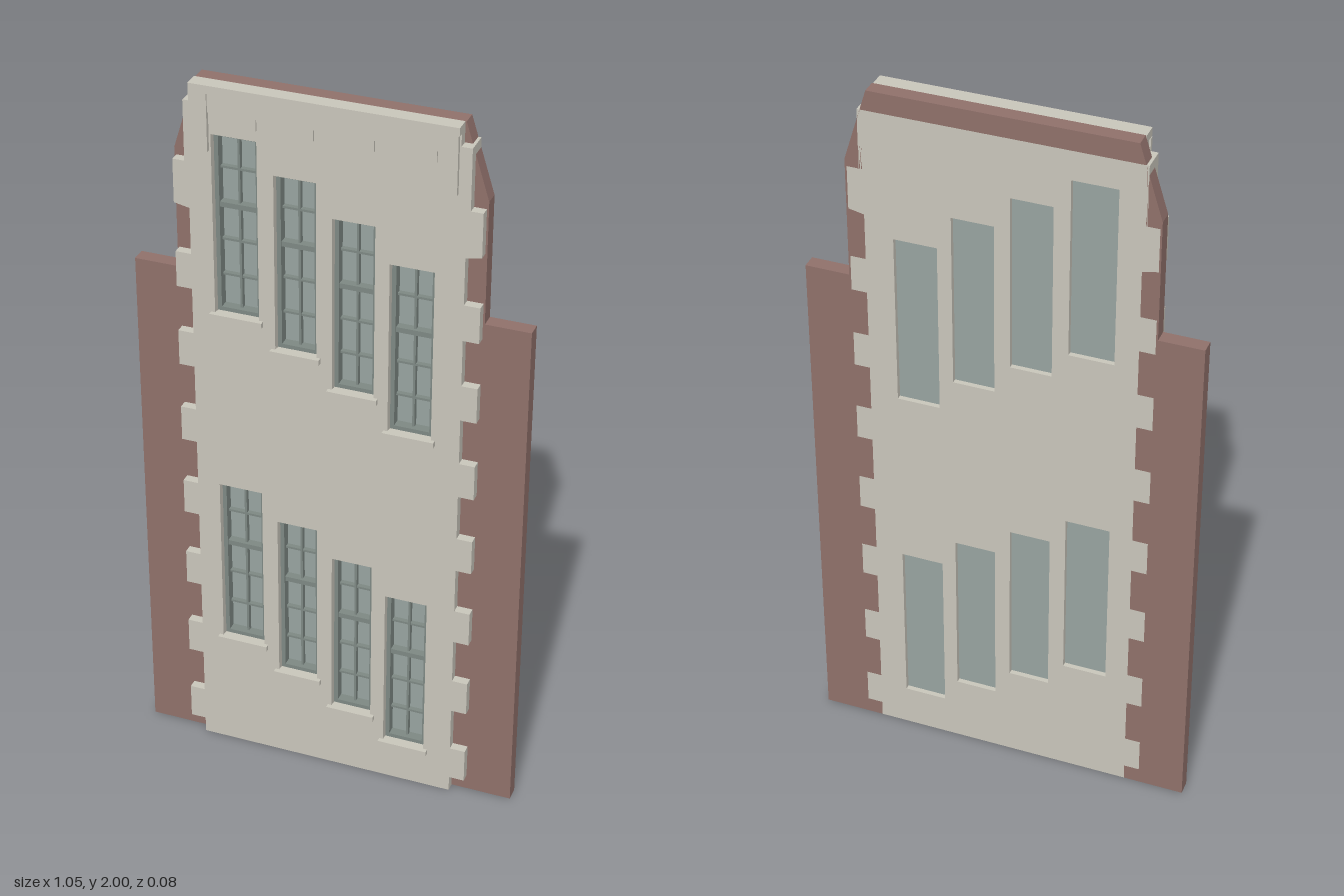
import * as THREE from 'three';

const mat = (name, color, side = THREE.FrontSide) => {
  const m = new THREE.MeshStandardMaterial({ color, side });
  m.name = name;
  return m;
};

export function createModel() {
  const stone = mat('pale stone', 0xc8c5ba);
  const brick = mat('red brick', 0x8f706a);
  const glass = mat('grey green glass', 0x97a3a0);
  const frame = mat('window frame grey', 0x7d8883);

  const model = new THREE.Group();
  model.name = 'townhouseFacade';

  const BACK = -0.04, FRONT = 0.025;

  // box given by its minimum and maximum corners
  function box(name, m, x0, x1, y0, y1, z0, z1, parent = model) {
    const mesh = new THREE.Mesh(new THREE.BoxGeometry(x1 - x0, y1 - y0, z1 - z0), m);
    mesh.position.set((x0 + x1) / 2, (y0 + y1) / 2, (z0 + z1) / 2);
    mesh.name = name;
    parent.add(mesh);
  }
  function slab(name, m, shape, z0, z1) {
    const geo = new THREE.ExtrudeGeometry(shape, { depth: z1 - z0, bevelEnabled: false });
    const mesh = new THREE.Mesh(geo, m);
    mesh.position.z = z0;
    mesh.name = name;
    model.add(mesh);
  }
  const v = (x, y) => new THREE.Vector2(x, y);
  const mirror = pts => pts.map(p => v(-p.x, p.y)).reverse();

  // toothed quoin edge on the left side, from the ground up
  const wide = 0.402, narrow = 0.36, top = 1.945;
  const edge = [v(narrow, 0), v(narrow, 0.045)];
  for (let i = 0; i < 7; i++) {
    const y = 0.045 + i * 0.2295;
    edge.push(v(wide, y), v(wide, y + 0.1), v(narrow, y + 0.1), v(narrow, y + 0.2295));
  }
  edge.push(v(wide, 1.66), v(wide, 1.78), v(0.37, 1.78), v(0.37, top));

  // windows: x range, upper row and lower row y ranges
  const columns = [
    [-0.298, -0.178, 1.365, 1.865, 0.35, 0.845],
    [-0.135, -0.024, 1.29, 1.782, 0.275, 0.765],
    [0.018, 0.13, 1.205, 1.693, 0.195, 0.685],
    [0.168, 0.284, 1.115, 1.597, 0.12, 0.602],
  ];
  const windows = columns.flatMap(([a, b, c, d, e, f]) => [[a, b, c, d], [a, b, e, f]]);

  // stone facade with window openings
  const facade = new THREE.Shape([...edge, ...mirror(edge)]);
  for (const [x0, x1, y0, y1] of windows) {
    facade.holes.push(new THREE.Path([v(x0, y0), v(x0, y1), v(x1, y1), v(x1, y0)]));
  }
  slab('stoneFacade', stone, facade, BACK, FRONT);

  // brick wings, sloped shoulders and parapet wrapped round the facade
  const outer = [v(0.527, 0), v(0.527, 1.465), v(0.407, 1.465), v(0.407, 1.8), v(0.345, 2)];
  const inner = [...edge];
  // the top quoin stone pokes out through the slope
  inner.splice(-2, 2, v(0.36, 1.78), v(0.36, top));
  slab('brickWall', brick,
    new THREE.Shape([...outer, ...mirror(outer), ...mirror(inner).reverse(), ...[...inner].reverse()]),
    BACK, 0);

  // parapet facing and cornice
  box('parapetFacing', stone, -0.345, 0.342, top, 1.98, 0, FRONT);
  box('cornice', stone, -0.348, 0.342, 1.978, 2, 0, 0.041);
  box('frieze', stone, -0.303, 0.29, 1.925, 1.978, FRONT, 0.031);
  for (const x of [-0.229, -0.08, 0.075, 0.232]) {
    box('friezeBlock', stone, x - 0.052, x + 0.052, 1.895, 1.925, FRONT, 0.031);
  }
  box('rightBracket', stone, -0.35, -0.303, 1.82, 1.978, FRONT, 0.036);
  box('leftBracket', stone, 0.29, 0.338, 1.82, 1.978, FRONT, 0.036);

  // glazing, frames, bars and sills
  for (const [x0, x1, y0, y1] of windows) {
    const g = new THREE.Group();
    g.name = 'window';
    model.add(g);
    const t = 0.011, zf = 0.006, zg = -0.02;
    box('glass', glass, x0, x1, y0, y1, zg - 0.006, zg, g);
    box('frameRight', frame, x0, x0 + t, y0, y1, zg, zf, g);
    box('frameLeft', frame, x1 - t, x1, y0, y1, zg, zf, g);
    box('frameTop', frame, x0 + t, x1 - t, y1 - t, y1, zg, zf, g);
    box('frameBottom', frame, x0 + t, x1 - t, y0, y0 + t, zg, zf, g);
    const xm = (x0 + x1) / 2;
    box('centreBar', frame, xm - 0.003, xm + 0.003, y0 + t, y1 - t, zg, -0.006, g);
    for (let i = 1; i < 5; i++) {
      const y = y0 + (y1 - y0) * i / 5, transom = i === 3;
      const h = transom ? 0.007 : 0.003;
      box(transom ? 'transom' : 'glazingBar', frame, x0 + t, x1 - t, y - h, y + h, zg, transom ? 0.002 : -0.007, g);
    }
    box('sill', stone, x0 - 0.011, x1 + 0.011, y0 - 0.013, y0 + 0.002, 0.015, 0.038, g);
  }
  return model;
}
